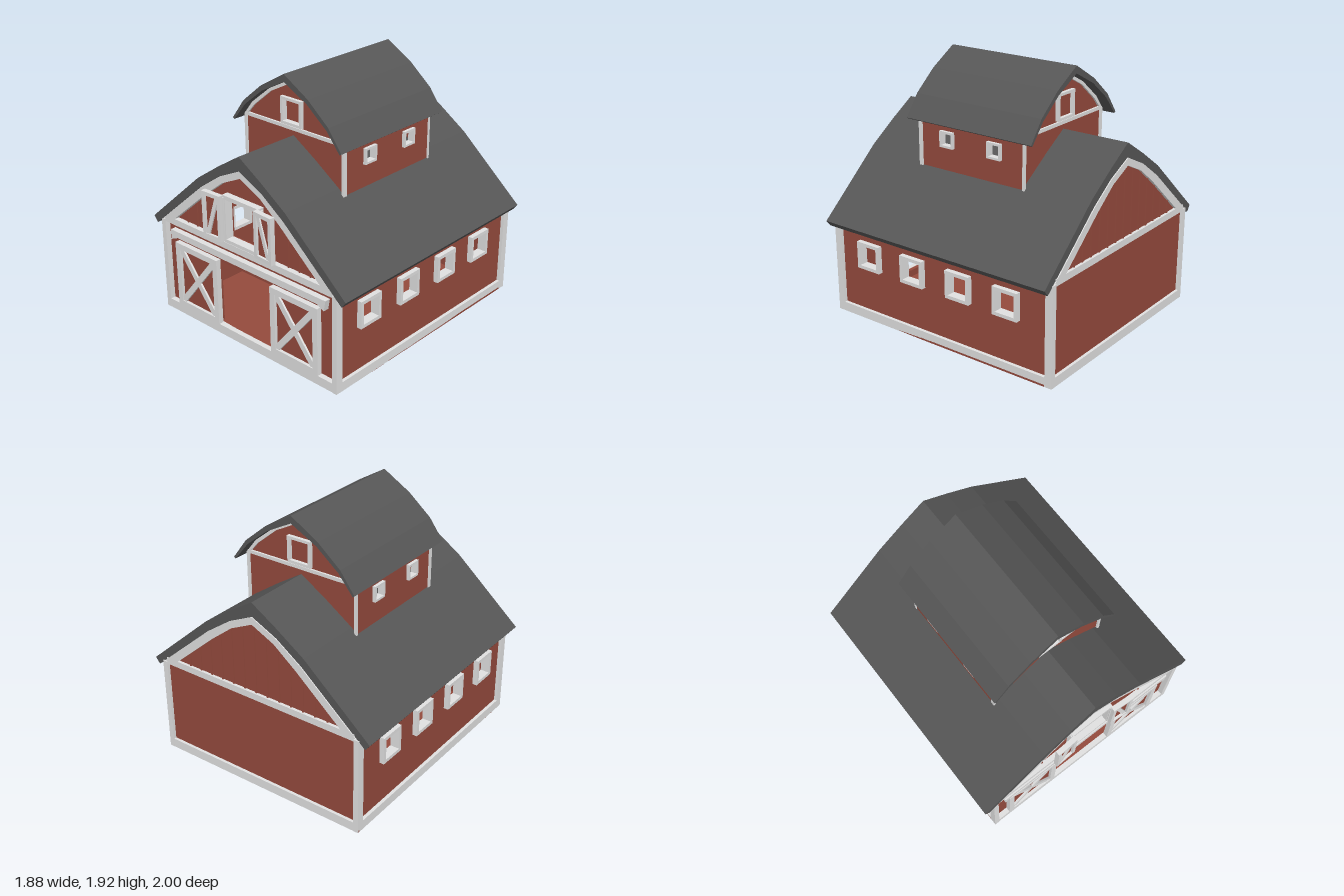
import * as THREE from 'three';

const mat = (name, color) => {
  const m = new THREE.MeshStandardMaterial({ color });
  m.name = name;
  return m;
};

export function createModel() {
  const red = mat('barn red', 0x944a3d);
  const white = mat('trim white', 0xe0e0e0);
  const grey = mat('roof grey', 0x565656);
  const barn = new THREE.Group();
  barn.name = 'barn';

  const add = (name, geo, material, parent = barn) => {
    const mesh = new THREE.Mesh(geo, material);
    mesh.name = name;
    parent.add(mesh);
    return mesh;
  };
  // Box given by its limits on each axis
  const box = (name, m, x0, x1, y0, y1, z0, z1, parent) => {
    const g = new THREE.BoxGeometry(x1 - x0, y1 - y0, z1 - z0);
    g.translate((x0 + x1) / 2, (y0 + y1) / 2, (z0 + z1) / 2);
    return add(name, g, m, parent);
  };
  // Outline extruded along z from z0 to z1; holes are [x0, x1, y0, y1]
  const slab = (pts, holes, z0, z1) => {
    const s = new THREE.Shape(pts.map(p => new THREE.Vector2(...p)));
    for (const [a, b, c, d] of holes) {
      s.holes.push(new THREE.Path([[a, c], [a, d], [b, d], [b, c]].map(p => new THREE.Vector2(...p))));
    }
    const g = new THREE.ExtrudeGeometry(s, { depth: z1 - z0, bevelEnabled: false });
    return g.translate(0, 0, z0);
  };
  const rect = (a, b, c, d) => [[a, c], [b, c], [b, d], [a, d]];
  // Full profile from right-hand points listed peak to eave
  const full = half => [...half.slice(1).reverse().map(([x, y]) => [-x, y]), ...half];
  // Arched band between two half profiles
  const arch = (outer, inner, z0, z1) => slab([...full(outer), ...full(inner).reverse()], [], z0, z1);
  // Square window frame facing z
  const frame = (x, y, w, t, z0, z1) => {
    const h = w / 2, i = h - t;
    return slab(rect(x - h, x + h, y - h, y + h), [[x - i, x + i, y - i, y + i]], z0, z1);
  };
  // Height of a half profile at x
  const heightAt = (half, x) => {
    const k = Math.max(1, half.findIndex(p => p[0] >= Math.abs(x)));
    const [a, b] = [half[k - 1], half[k]];
    return a[1] + (b[1] - a[1]) * (Math.abs(x) - a[0]) / (b[0] - a[0]);
  };
  // Flat bar between two points in the xy plane
  const bar = (name, x0, y0, x1, y1, w, z0, z1, parent) => {
    const g = new THREE.BoxGeometry(Math.hypot(x1 - x0, y1 - y0), w, z1 - z0);
    g.rotateZ(Math.atan2(y1 - y0, x1 - x0));
    g.translate((x0 + x1) / 2, (y0 + y1) / 2, (z0 + z1) / 2);
    return add(name, g, white, parent);
  };

  // Main roof
  const roofTop = [[0, 1.46], [0.2, 1.335], [0.42, 1.185], [0.94, 0.73]];
  const roofUnder = [[0, 1.355], [0.2, 1.26], [0.4, 1.12], [0.905, 0.685]];
  const trimInner = [[0, 1.3], [0.18, 1.215], [0.36, 1.075], [0.72, 0.765]];
  add('mainRoof', arch(roofTop, roofUnder, -0.99, 0.945), grey);

  // End walls, the front one with doorway and loft opening
  const W = 0.835;
  const gable = [[-W, 0], [W, 0], [W, 0.745], ...full(roofUnder.slice(0, 3)).reverse(), [-W, 0.745]];
  const doorway = [-0.3, 0.3, 0.07, 0.57], loft = [-0.155, 0.16, 0.8, 1.115];
  add('frontWall', slab(gable, [doorway, loft], 0.87, 0.9), red);
  add('backWall', slab(gable, [], -0.975, -0.945), red);
  box('floor', red, -0.86, 0.86, 0, 0.015, -0.99, 0.935);

  // Side walls with four open windows each
  const windowZ = [0.61, 0.2, -0.215, -0.62];
  for (const s of [-1, 1]) {
    const holes = windowZ.map(z => [-z - 0.08, -z + 0.08, 0.425, 0.585]);
    const g = slab(rect(-0.88, 0.96, 0, 0.74), holes, -0.015, 0.015).rotateY(Math.PI / 2);
    add('sideWall', g.translate(s * 0.82, 0, 0), red);
    for (const z of windowZ) {
      const f = frame(-z, 0.505, 0.205, 0.025, -0.035, 0.035).rotateY(Math.PI / 2);
      add('sideWindowFrame', f.translate(s * 0.837, 0, 0), white);
    }
    // Base boards and corner posts
    box('sideBase', white, s * 0.845 - 0.015, s * 0.845 + 0.015, 0, 0.07, -0.95, 0.9);
    box('frontPost', white, s * 0.84 - 0.02, s * 0.84 + 0.02, 0, 0.735, 0.885, 0.942);
    box('backPost', white, s * 0.84 - 0.02, s * 0.84 + 0.02, 0, 0.735, -0.998, -0.94);
  }

  // Trim and battens on both ends
  for (const [end, z0, z1, face] of [['front', 0.895, 0.94, 0.903], ['back', -0.997, -0.965, -0.978]]) {
    box(end + 'Base', white, -0.82, 0.82, 0, 0.07, z0, z1);
    box(end + 'Beam', white, -0.82, 0.82, 0.72, 0.77, z0, z1);
    const outer = [...roofUnder.slice(0, 3), [0.835, 0.745], [0.8, 0.73]];
    const inner = [...trimInner, [0.74, 0.73]];
    add(end + 'GableTrim', arch(outer, inner, z0, z1), white);
    for (let i = -6; i <= 6; i++) {
      const x = i * 0.1;
      if (end === 'front' && Math.abs(x) < 0.35) continue;
      box(end + 'Batten', red, x - 0.006, x + 0.006, 0.77, heightAt(trimInner, x), face - 0.006, face + 0.006);
    }
  }

  // Sliding doors with cross braces, and their rail
  for (const x0 of [-0.72, 0.25]) {
    const door = new THREE.Group();
    door.name = 'slidingDoor';
    barn.add(door);
    const x1 = x0 + 0.44, y0 = 0.065, y1 = 0.585, t = 0.045;
    box('doorPanel', red, x0 + 0.01, x1 - 0.01, y0 + 0.01, y1 - 0.01, 0.903, 0.92, door);
    add('doorFrame', slab(rect(x0, x1, y0, y1), [[x0 + t, x1 - t, y0 + t, y1 - t]], 0.903, 0.943), white, door);
    bar('doorBrace', x0 + t, y0 + t, x1 - t, y1 - t, 0.045, 0.915, 0.936, door);
    bar('doorBrace', x0 + t, y1 - t, x1 - t, y0 + t, 0.045, 0.915, 0.935, door);
  }
  const rail = [[-0.76, 0.595], [-0.69, 0.625], [0.69, 0.625], [0.75, 0.595], [0.765, 0.675], [-0.76, 0.675]];
  add('doorRail', slab(rail, [], 0.895, 0.944), white);

  // Loft opening frame and open shutters
  add('loftFrame', slab(rect(-0.175, 0.175, 0.78, 1.135), [[-0.15, 0.155, 0.805, 1.105]], 0.885, 0.95), white);
  for (const s of [-1, 1]) {
    const shutter = new THREE.Group();
    shutter.name = 'loftShutter';
    shutter.position.set(s * 0.25, 0, 0.965);
    shutter.rotation.y = -s * 0.06;
    barn.add(shutter);
    box('shutterPanel', red, -0.08, 0.08, 0.795, 1.13, -0.005, 0.01, shutter);
    add('shutterFrame', slab(rect(-0.085, 0.085, 0.79, 1.135), [[-0.058, 0.058, 0.818, 1.107]], -0.01, 0.028), white, shutter);
    bar('shutterBrace', -s * 0.05, 1.11, s * 0.045, 0.815, 0.03, 0, 0.022, shutter);
    box('shutterHinge', white, -s * 0.08 - 0.012, -s * 0.08 + 0.012, 0.8, 1.12, -0.05, 0, shutter);
  }

  // Upper house on the ridge
  const upper = new THREE.Group();
  upper.name = 'upperHouse';
  barn.add(upper);
  const upTop = [[0, 1.92], [0.22, 1.79], [0.4, 1.64], [0.515, 1.485]];
  const upUnder = [[0, 1.865], [0.21, 1.755], [0.385, 1.615], [0.5, 1.475]];
  const upInner = [[0, 1.84], [0.2, 1.735], [0.37, 1.595], [0.43, 1.525]];
  add('upperRoof', arch(upTop, upUnder, -0.57, 0.515), grey, upper);
  const upWall = [...full([[0, 1.42], [0.2, 1.3], [0.4, 1.16], [0.465, 1.11]]),
    [0.465, 1.51], ...full(upUnder.slice(0, 3)).reverse(), [-0.465, 1.51]];
  const upHole = [-0.085, 0.085, 1.55, 1.71];
  add('upperFrontWall', slab(upWall, [upHole], 0.405, 0.43), red, upper);
  add('upperBackWall', slab(upWall, [], -0.47, -0.445), red, upper);
  for (const [z0, z1] of [[0.425, 0.445], [-0.485, -0.465]]) {
    box('upperBeam', white, -0.465, 0.465, 1.5, 1.525, z0, z1, upper);
    add('upperGableTrim', arch([...upUnder.slice(0, 3), [0.468, 1.51]], upInner, z0, z1), white, upper);
    add('upperWindowFrame', frame(0, 1.632, 0.195, 0.02, z0 - 0.012, z1 + 0.012), white, upper);
  }
  for (const s of [-1, 1]) {
    const zs = [0.18, -0.235];
    const g = slab(rect(-0.42, 0.46, 1.12, 1.51), zs.map(z => [-z - 0.045, -z + 0.045, 1.33, 1.42]), -0.0125, 0.0125);
    add('upperSideWall', g.rotateY(Math.PI / 2).translate(s * 0.454, 0, 0), red, upper);
    for (const z of zs) {
      const f = frame(-z, 1.375, 0.118, 0.016, -0.025, 0.025).rotateY(Math.PI / 2);
      add('upperSideWindowFrame', f.translate(s * 0.465, 0, 0), white, upper);
    }
    for (const [z0, z1] of [[0.41, 0.444], [-0.486, -0.468]]) {
      box('upperPost', white, s * 0.462 - 0.01, s * 0.462 + 0.01, 1.12, 1.51, z0, z1, upper);
    }
  }
  return barn;
}
